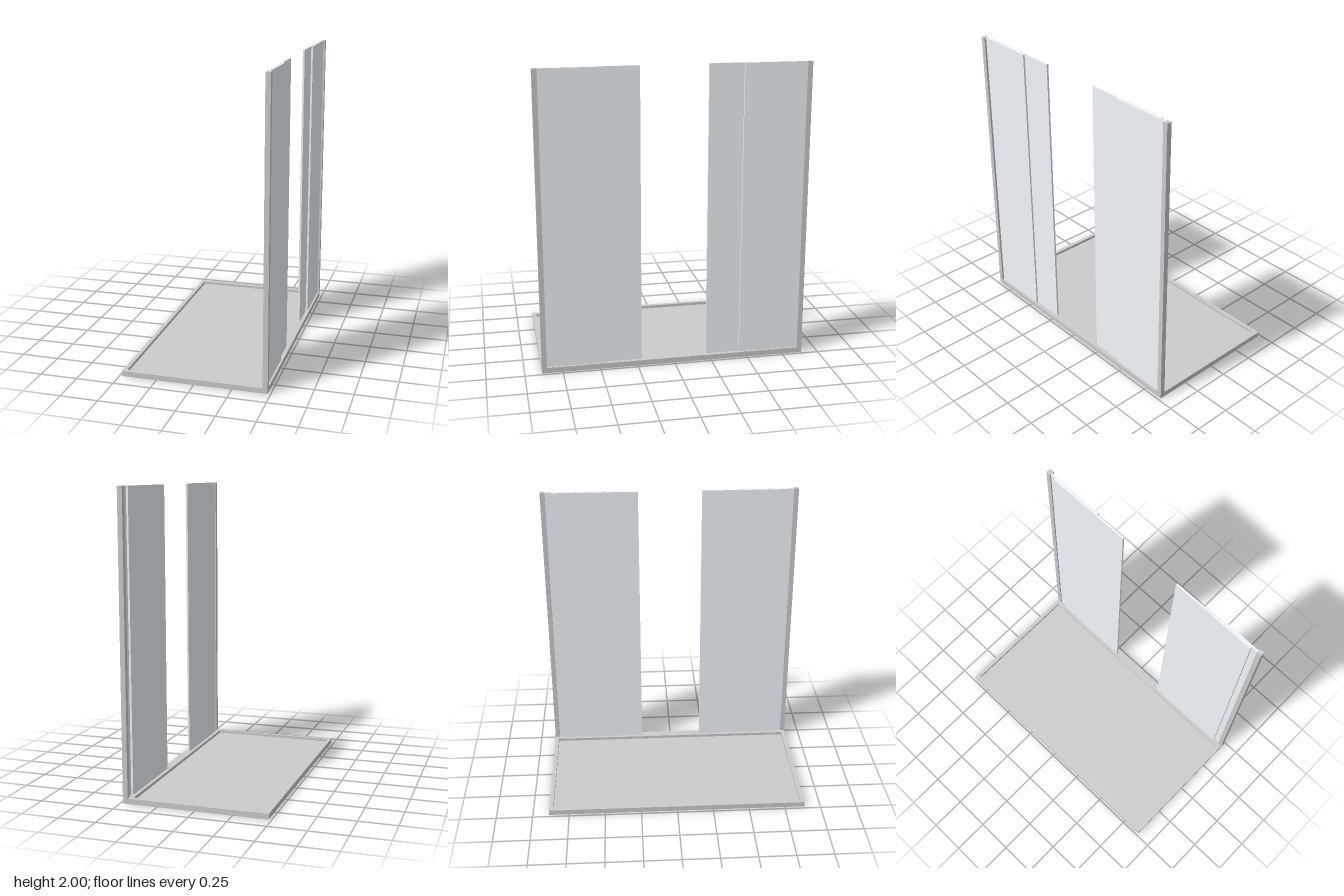
import * as THREE from 'three';

const grey = new THREE.MeshStandardMaterial({ color: 0xcccccc });
const glass = new THREE.MeshStandardMaterial({ color: 0xf2f7fc });

// Box given by its extents along each axis
function block(name, [x0, x1], [y0, y1], [z0, z1], material) {
  const mesh = new THREE.Mesh(new THREE.BoxGeometry(x1 - x0, y1 - y0, z1 - z0), material);
  mesh.name = name;
  mesh.position.set((x0 + x1) / 2, (y0 + y1) / 2, (z0 + z1) / 2);
  return mesh;
}

// Rectangle outline in plan
function rectangle(Type, x0, x1, z) {
  return new Type([[x0, -z], [x1, -z], [x1, z], [x0, z]].map(([x, y]) => new THREE.Vector2(x, y)));
}

export function createModel() {
  const model = new THREE.Group();
  model.name = 'showerEnclosure';

  const trayTop = 0.036, floorTop = 0.016, top = 2;
  const halfWidth = 0.482, halfLength = 0.888;

  // Tray: a solid floor with a raised rim around it
  const tray = new THREE.Group();
  tray.name = 'tray';
  tray.add(block('trayFloor', [-halfWidth, halfWidth], [0, floorTop], [-halfLength, halfLength], grey));
  const outline = rectangle(THREE.Shape, -halfWidth, halfWidth, halfLength);
  outline.holes.push(rectangle(THREE.Path, -0.455, 0.42, 0.86));
  const rimGeometry = new THREE.ExtrudeGeometry(outline, { depth: trayTop - floorTop, bevelEnabled: false });
  rimGeometry.rotateX(-Math.PI / 2);
  const rim = new THREE.Mesh(rimGeometry, grey);
  rim.name = 'trayRim';
  rim.position.y = floorTop;
  tray.add(rim);
  model.add(tray);

  // Each end: wall post, fixed outer pane and sliding inner pane
  const height = [trayTop, top];
  for (const [side, label] of [[1, 'front'], [-1, 'back']]) {
    const span = (a, b) => (side > 0 ? [a, b] : [-b, -a]);
    const end = new THREE.Group();
    end.name = label + 'Screen';
    end.add(
      block(label + 'WallPost', [0.449, halfWidth], height, span(0.855, halfLength), grey),
      block(label + 'FixedPane', [0.457, 0.469], height, span(0.447, 0.855), glass),
      block(label + 'SlidingPane', [0.443, 0.456], height, span(0.22, 0.813), glass),
    );
    model.add(end);
  }
  return model;
}
